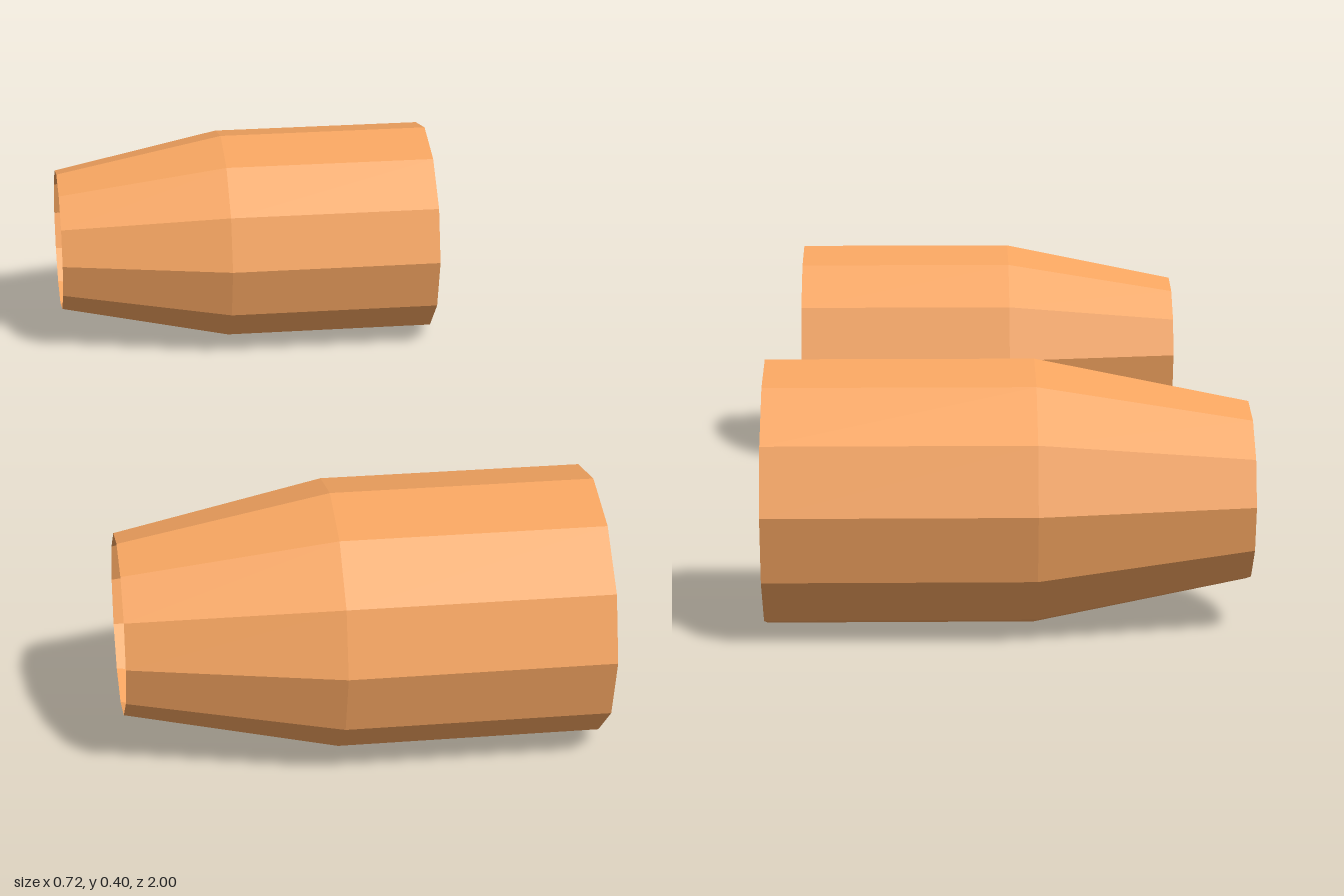
import * as THREE from 'three';

const material = new THREE.MeshStandardMaterial({
  color: 0xf4a460, flatShading: true, side: THREE.DoubleSide,
});

// Twelve-sided turned part along x; profile points are [x, radius]
function turned(name, profile) {
  const points = profile.map(([x, r]) => new THREE.Vector2(r, x));
  const geometry = new THREE.LatheGeometry(points, 12).rotateZ(-Math.PI / 2);
  const mesh = new THREE.Mesh(geometry, material);
  mesh.name = name;
  return mesh;
}

function createPod(name, z) {
  const pod = new THREE.Group();
  pod.name = name;
  pod.add(
    // Tapered outer shell, open at the narrow end
    turned('shell', [[-0.36, 0.135], [-0.04, 0.2], [0.36, 0.2]]),
    // Thick rim around the mouth and the recess behind it
    turned('mouthRim', [[0.36, 0.2], [0.36, 0.143], [0.23, 0.143], [0.23, 0.122]]),
    // Stepped funnel closing to a point inside
    turned('innerFunnel', [[0.23, 0.122], [0.2, 0.115], [-0.08, 0.04], [-0.16, 0]]),
  );
  pod.position.set(0, 0.2, z);
  pod.scale.z = 1.0625;
  return pod;
}

export function createModel() {
  const model = new THREE.Group();
  model.name = 'podPair';
  model.add(createPod('frontPod', 0.7875), createPod('backPod', -0.7875));
  return model;
}
